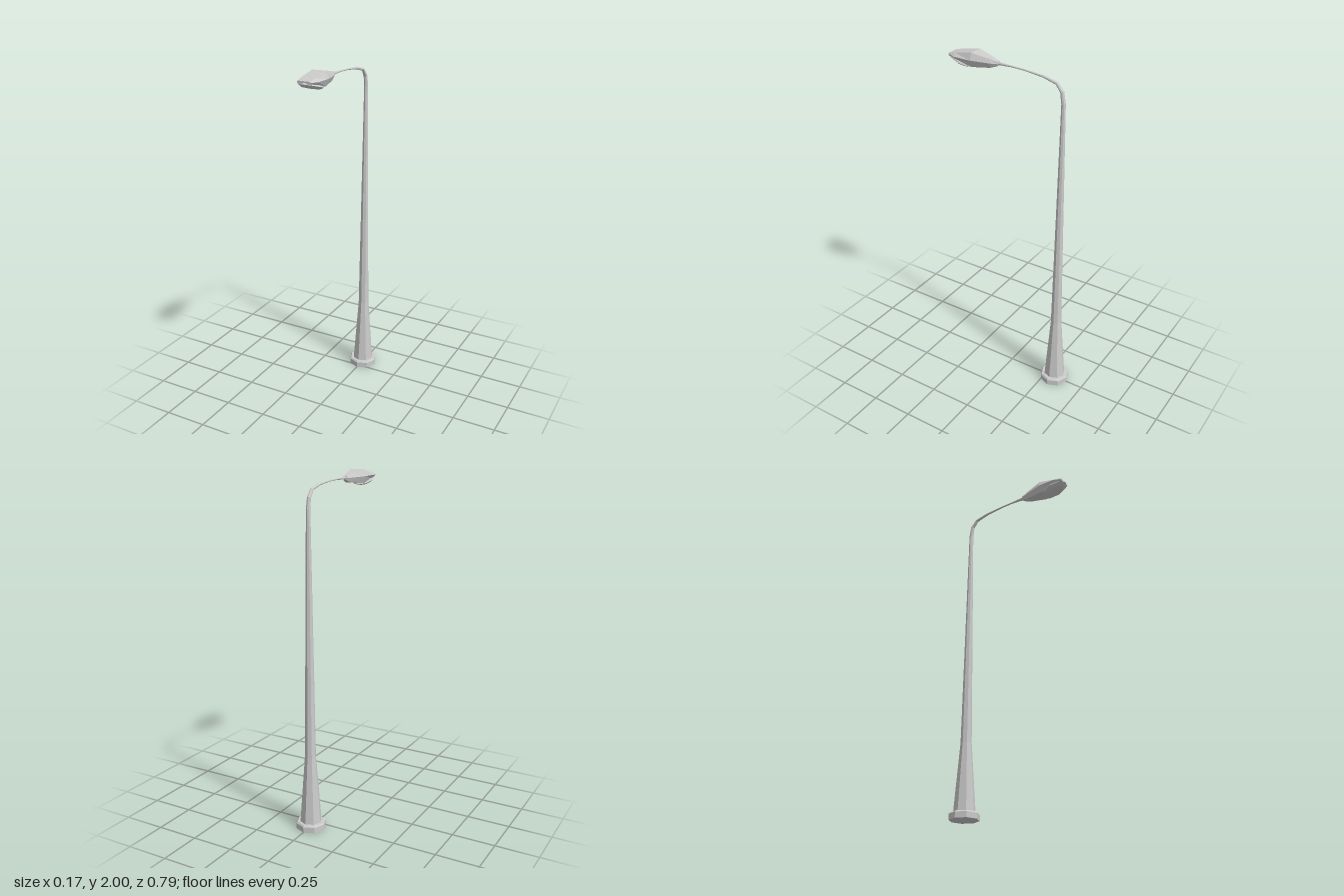
import * as THREE from 'three';

const material = new THREE.MeshStandardMaterial({ color: 0xcccccc, flatShading: true });

function addMesh(group, name, geometry) {
  const mesh = new THREE.Mesh(geometry, material);
  mesh.name = name;
  group.add(mesh);
  return mesh;
}

// Skin a series of rings (each counter-clockwise about the direction of travel) and cap both ends
function loft(rings) {
  const n = rings[0].length;
  const last = (rings.length - 1) * n;
  const index = [];
  for (let i = 0; i < rings.length - 1; i++) {
    for (let j = 0; j < n; j++) {
      const a = i * n + j, b = i * n + (j + 1) % n;
      index.push(a, b, b + n, a, b + n, a + n);
    }
  }
  for (let j = 1; j < n - 1; j++) {
    index.push(0, j + 1, j, last, last + j, last + j + 1);
  }
  const geometry = new THREE.BufferGeometry();
  geometry.setAttribute('position', new THREE.Float32BufferAttribute(rings.flat(2), 3));
  geometry.setIndex(index);
  geometry.computeVertexNormals();
  return geometry;
}

// Eight-sided tube of varying radius along a path of [z, y, radius] in the x = 0 plane
function taperedTube(path, sides = 8) {
  return loft(path.map(([z, y, r], i) => {
    const from = path[Math.max(i - 1, 0)], to = path[Math.min(i + 1, path.length - 1)];
    const t = new THREE.Vector2(to[0] - from[0], to[1] - from[1]).normalize();
    return Array.from({ length: sides }, (_, j) => {
      const a = (j / sides) * Math.PI * 2;
      const c = r * Math.cos(a);
      return [r * Math.sin(a), y - t.x * c, z + t.y * c];
    });
  }));
}

export function createModel() {
  const group = new THREE.Group();
  group.name = 'streetLamp';

  // Octagonal foot with a small chamfer
  const foot = addMesh(group, 'foot', new THREE.LatheGeometry(
    [[0, 0], [0.086, 0], [0.086, 0.033], [0.079, 0.041], [0, 0.041]].map(p => new THREE.Vector2(...p)), 8));
  foot.position.z = -0.31;

  // Tapering pole that bends forward into the arm
  addMesh(group, 'poleAndArm', taperedTube([
    [-0.31, 0.035, 0.063], [-0.31, 0.44, 0.032], [-0.309, 1.82, 0.012],
    [-0.299, 1.88, 0.011], [-0.268, 1.92, 0.009], [-0.19, 1.941, 0.007],
    [-0.08, 1.953, 0.005], [0.0, 1.957, 0.005], [0.095, 1.958, 0.01],
  ]));

  // Lamp housing: six-sided sections [z, top y, middle y, bottom y, flat half width, middle half width]
  const sections = [
    [0.083, 1.968, 1.957, 1.946, 0.009, 0.013],
    [0.125, 1.979, 1.958, 1.931, 0.019, 0.03],
    [0.23, 2.0, 1.962, 1.922, 0.04, 0.057],
    [0.335, 1.981, 1.964, 1.942, 0.04, 0.057],
    [0.38, 1.972, 1.966, 1.957, 0.036, 0.04],
  ];
  addMesh(group, 'lampHousing', loft(sections.map(([z, top, mid, bottom, w, m]) => [
    [m, mid, z], [w, top, z], [-w, top, z], [-m, mid, z], [-w, bottom, z], [w, bottom, z],
  ])));

  // Shallow oval lens tilted under the housing
  const lens = addMesh(group, 'lens', new THREE.LatheGeometry(
    [[0, -0.016], [0.06, -0.014], [0.086, -0.002], [0.08, 0.006], [0, 0.006]].map(p => new THREE.Vector2(...p)), 8));
  lens.scale.x = 0.67;
  lens.rotation.x = -0.27;
  lens.position.set(0, 1.937, 0.309);

  return group;
}
